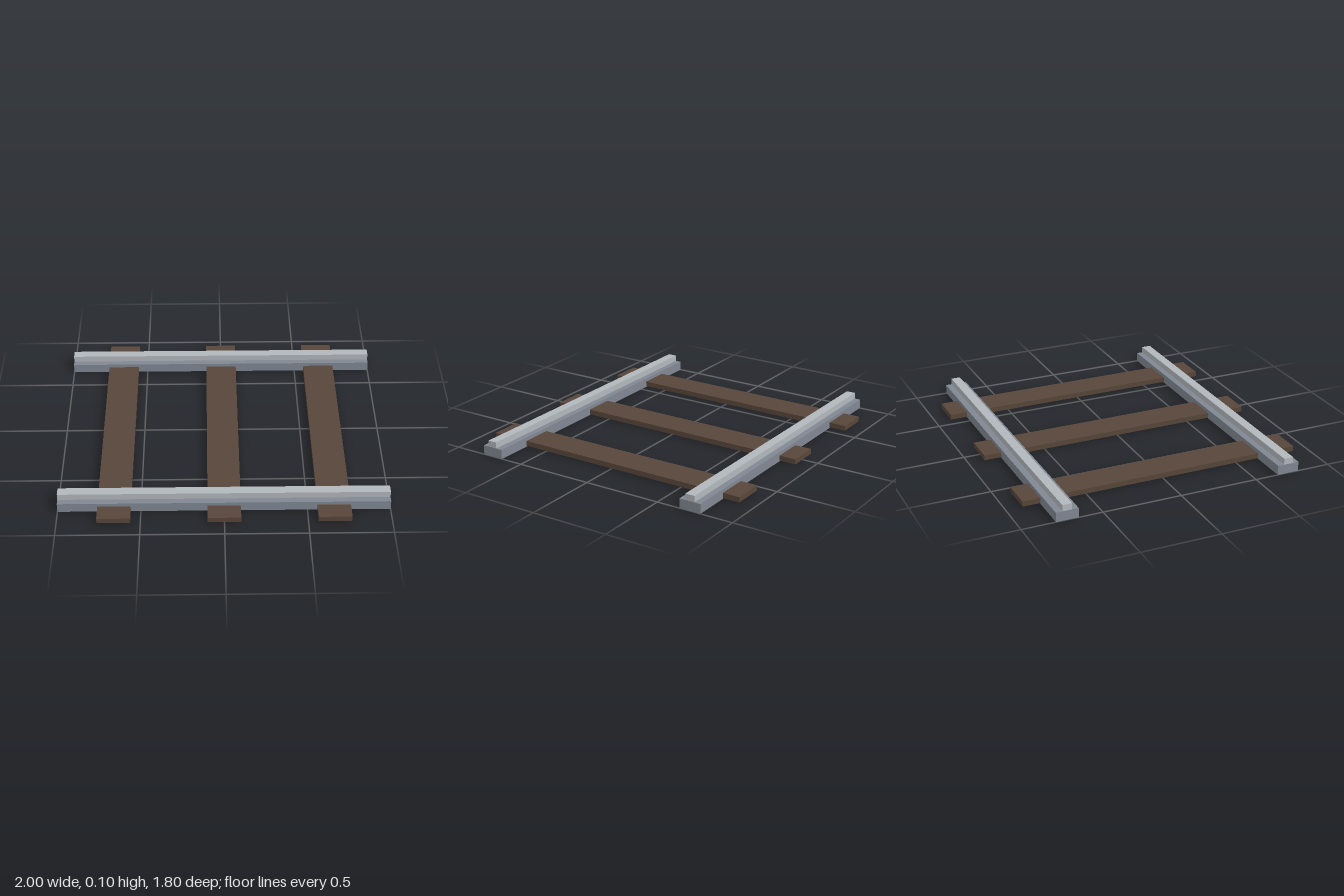
import * as THREE from 'three';

export function createModel() {
  const model = new THREE.Group();
  model.name = 'railTrack';

  const material = (name, color) => {
    const m = new THREE.MeshStandardMaterial({ color });
    m.name = name;
    return m;
  };
  const wood = material('darkWood', 0x58463a);
  const steel = material('greySteel', 0x808792);
  const polished = material('polishedSteel', 0xb2b7bc);

  // Box placed by its bottom height
  const addBox = (parent, name, mat, [w, h, d], [x, bottom, z]) => {
    const mesh = new THREE.Mesh(new THREE.BoxGeometry(w, h, d), mat);
    mesh.name = name;
    mesh.position.set(x, bottom + h / 2, z);
    parent.add(mesh);
  };

  // Three wooden sleepers, slightly above the underside of the rails
  for (const x of [-0.66, 0, 0.66]) {
    addBox(model, 'sleeper', wood, [0.2, 0.033, 1.8], [x, 0.005, 0]);
  }

  // Two rails, each a wide foot with a narrow running head
  for (const side of [-1, 1]) {
    const rail = new THREE.Group();
    rail.name = side > 0 ? 'frontRail' : 'backRail';
    rail.position.z = side * 0.72;
    addBox(rail, 'railFoot', steel, [2, 0.06, 0.14], [0, 0, 0]);
    addBox(rail, 'railHead', polished, [2, 0.04, 0.06], [0, 0.06, 0]);
    model.add(rail);
  }

  return model;
}
